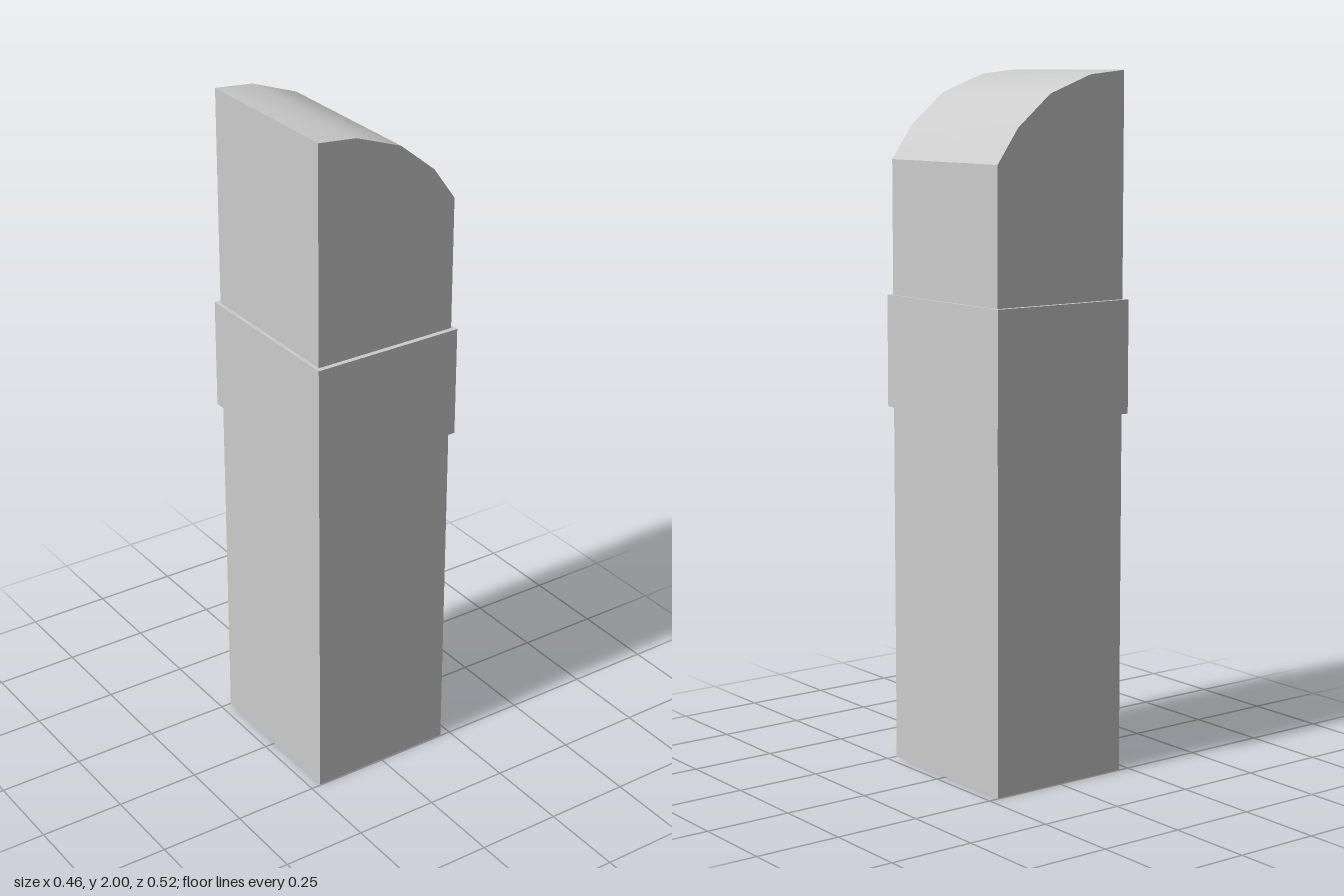
import * as THREE from 'three';
import { toCreasedNormals } from 'three/addons/utils/BufferGeometryUtils.js';

const material = new THREE.MeshStandardMaterial({ color: 0xcccccc });

function addPart(group, name, geometry, y = 0) {
  const mesh = new THREE.Mesh(geometry, material);
  mesh.name = name;
  mesh.position.y = y;
  group.add(mesh);
}

export function createModel() {
  const group = new THREE.Group();
  group.name = 'post';

  // Square shaft whose top curves down towards +x
  const halfWidth = 0.219, depth = 0.494;
  const profile = [
    [-halfWidth, 0], [halfWidth, 0], [halfWidth, 1.75],
    [0.15, 1.847], [0.04, 1.937], [-0.1, 1.988], [-halfWidth, 2],
  ].map(([x, y]) => new THREE.Vector2(x, y));
  const shaft = new THREE.ExtrudeGeometry(new THREE.Shape(profile), { depth, bevelEnabled: false });
  shaft.translate(0, 0, -depth / 2);
  addPart(group, 'shaft', toCreasedNormals(shaft, 0.5));

  // Slightly wider band around the shaft
  const bandBottom = 1.042, bandTop = 1.365;
  const band = new THREE.BoxGeometry(0.458, bandTop - bandBottom, 0.524);
  addPart(group, 'band', band, (bandBottom + bandTop) / 2);

  return group;
}
